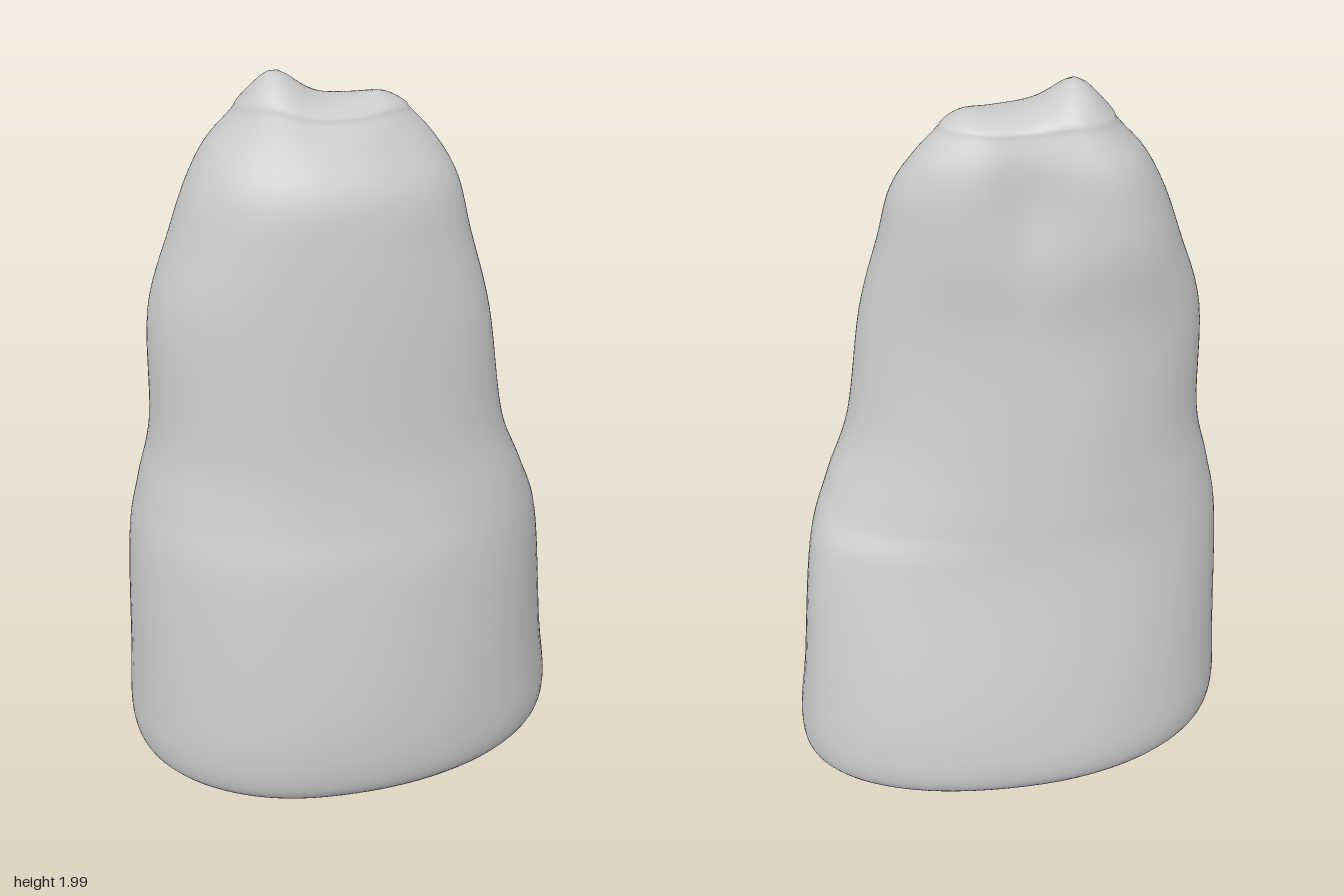
import * as THREE from 'three';

// Cross-sections from bottom to top:
// y, x min, x max, z max, z min, x of front bulge, x of back bulge, z of +x side
const SECTIONS = [
  [0.005, -0.48, 0.48, 0.29, -0.31, -0.08, 0, -0.06],
  [0.035, -0.58, 0.585, 0.37, -0.385, -0.1, 0, -0.08],
  [0.12, -0.613, 0.612, 0.413, -0.415, -0.1, 0, -0.08],
  [0.32, -0.605, 0.59, 0.413, -0.38, -0.1, 0, -0.08],
  [0.7, -0.588, 0.55, 0.36, -0.28, -0.1, -0.04, -0.04],
  [0.88, -0.555, 0.49, 0.315, -0.25, -0.1, -0.08, 0.02],
  [1.06, -0.515, 0.422, 0.282, -0.226, -0.1, -0.13, 0.05],
  [1.37, -0.503, 0.375, 0.255, -0.19, -0.09, -0.21, 0.06],
  [1.58, -0.44, 0.322, 0.232, -0.195, -0.08, -0.23, 0.04],
  [1.72, -0.39, 0.288, 0.205, -0.18, -0.08, -0.22, 0.02],
  [1.82, -0.335, 0.23, 0.15, -0.158, -0.09, -0.2, 0],
  [1.89, -0.265, 0.165, 0.105, -0.12, -0.1, -0.15, 0],
];
const SIDES = 96, STEPS = 6;

// Catmull-Rom interpolation of a whole section row
function sectionAt(u) {
  const last = SECTIONS.length - 1;
  const i = Math.min(Math.floor(u), last - 1), t = u - i;
  const row = (k) => SECTIONS[THREE.MathUtils.clamp(k, 0, last)];
  const [a, b, c, d] = [row(i - 1), row(i), row(i + 1), row(i + 2)];
  return b.map((v, k) => v + 0.5 * t * (c[k] - a[k]
    + t * (2 * a[k] - 5 * v + 4 * c[k] - d[k] + t * (3 * (v - c[k]) + d[k] - a[k]))));
}

const bell = (d, width) => Math.exp(-((d / width) ** 2));
const softPow = (v, e) => Math.sign(v) * Math.abs(v) ** e;

// One point of a section: four elliptical arcs joining its extreme points
function outline([y, xMin, xMax, zMax, zMin, frontX, backX, sideZ], angle) {
  const c = Math.cos(angle), s = Math.sin(angle);
  const e = c > 0 && s < 0 && y < 0.8 ? 0.9 : 0.97;
  const midX = s > 0 ? frontX : backX;
  const midZ = c > 0 ? sideZ : -0.02;
  const x = midX + (c > 0 ? xMax - midX : midX - xMin) * softPow(c, e);
  let z = midZ + (s > 0 ? zMax - midZ : midZ - zMin) * softPow(s, e);
  // shallow groove down the upper back, beside the rounded lobe
  if (s < 0) z -= 0.045 * s * bell(x + 0.04, 0.1) * bell(y - 1.74, 0.2);
  return [x, y, z];
}

function bodyGeometry() {
  const rings = [];
  const addRing = (row, scale, lift) => {
    const ring = [];
    for (let j = 0; j < SIDES; j++) {
      let [x, y, z] = outline(row, (j / SIDES) * Math.PI * 2);
      x = -0.05 + (x + 0.05) * scale;
      z *= scale;
      y += lift;
      // two knobs on the crown, the one on -x higher
      const w = THREE.MathUtils.smoothstep(y, 1.8, 1.92);
      y += w * (0.075 * bell(x + 0.17, 0.075) * bell(z, 0.1) + 0.015 * bell(x - 0.1, 0.05) * bell(z, 0.08));
      ring.push(x, y, z);
    }
    rings.push(ring);
  };

  // flat underside, lofted wall, domed crown
  const last = SECTIONS.length - 1;
  for (const s of [0, 0.5, 0.9]) addRing(SECTIONS[0], s, -0.005);
  for (let k = 0; k <= last * STEPS; k++) addRing(sectionAt(k / STEPS), 1, 0);
  for (let k = 1; k <= 12; k++) {
    const a = (k / 12) * Math.PI / 2;
    addRing(SECTIONS[last], Math.cos(a), 0.036 * Math.sin(a));
  }

  const index = [];
  for (let i = 0; i < rings.length - 1; i++) {
    for (let j = 0; j < SIDES; j++) {
      const n = (j + 1) % SIDES;
      const a = i * SIDES + j, b = i * SIDES + n, c = a + SIDES, d = b + SIDES;
      index.push(a, c, b, b, c, d);
    }
  }
  const geometry = new THREE.BufferGeometry();
  geometry.setAttribute('position', new THREE.Float32BufferAttribute(rings.flat(), 3));
  geometry.setIndex(index);
  geometry.computeVertexNormals();
  return geometry;
}

export function createModel() {
  const group = new THREE.Group();
  group.name = 'standingStone';
  const body = new THREE.Mesh(bodyGeometry(), new THREE.MeshStandardMaterial({ color: 0xcccccc }));
  body.name = 'stoneBody';
  group.add(body);
  return group;
}
